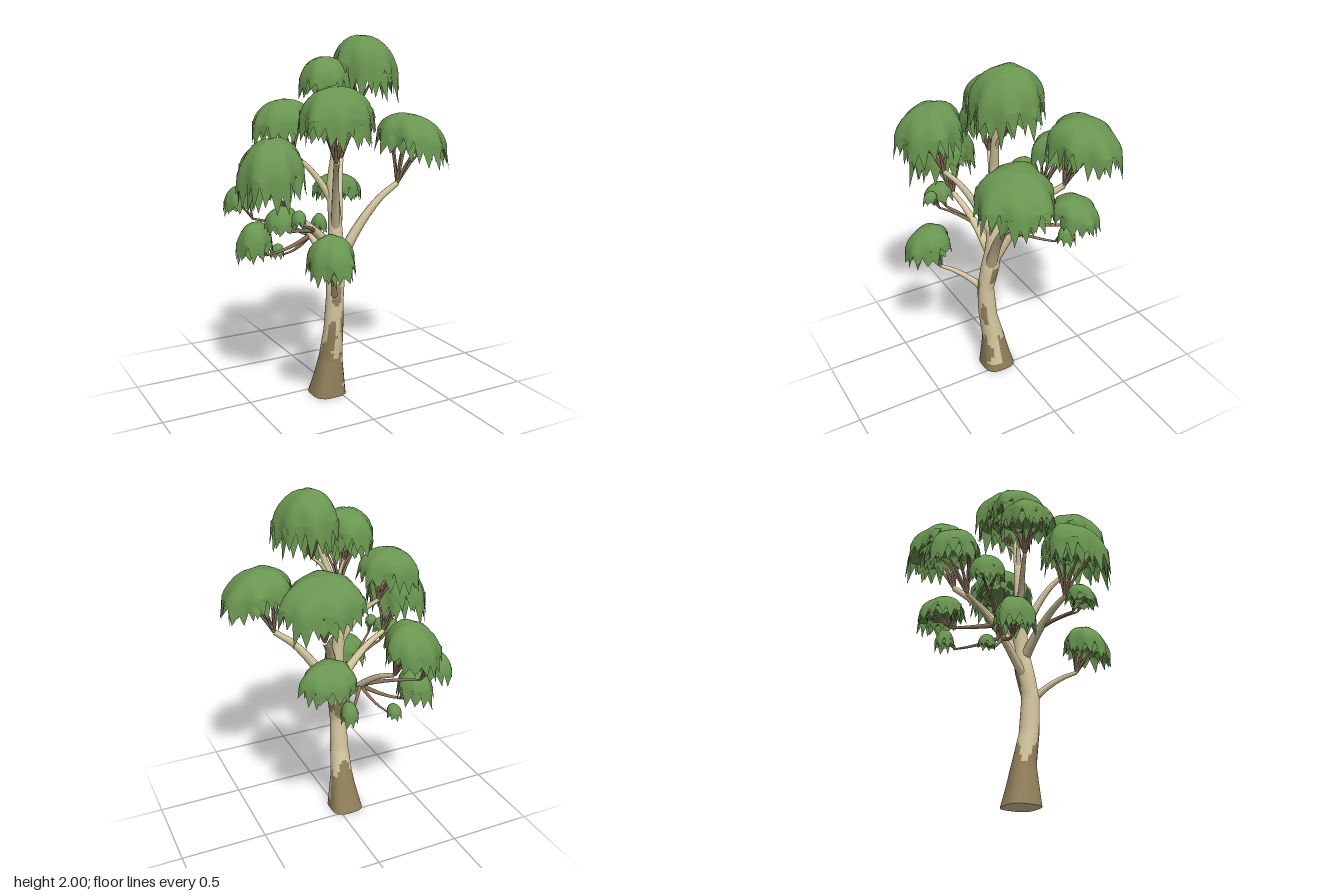
import * as THREE from 'three';

const mat = (name, color, side = THREE.FrontSide) => {
  const m = new THREE.MeshStandardMaterial({ color, side });
  m.name = name;
  return m;
};

// Small seeded random generator
function seeded(seed) {
  let s = seed * 7919 + 17;
  return () => ((s = (s * 16807) % 2147483647) / 2147483647);
}

// Tube along a curve, tapering from r0 to r1
function taperedTube(curve, r0, r1, sides, rows) {
  const geo = new THREE.TubeGeometry(curve, rows, 1, sides, false);
  const pos = geo.attributes.position;
  const v = new THREE.Vector3();
  for (let k = 0; k < pos.count; k++) {
    const t = Math.floor(k / (sides + 1)) / rows;
    const c = curve.getPointAt(t);
    v.fromBufferAttribute(pos, k).sub(c).multiplyScalar(r0 + (r1 - r0) * t).add(c);
    pos.setXYZ(k, v.x, v.y, v.z);
  }
  return geo;
}

// Trunk sections: y, centre x, centre z, radius
const TRUNK = [
  [0, -0.055, 0.075, 0.097],
  [0.1, -0.05, 0.088, 0.083],
  [0.22, -0.045, 0.1, 0.067],
  [0.4, -0.045, 0.135, 0.055],
  [0.6, -0.043, 0.148, 0.049],
  [0.75, -0.025, 0.125, 0.054],
  [0.88, -0.015, 0.11, 0.043],
  [1.05, -0.02, 0.1, 0.036],
  [1.22, -0.03, 0.092, 0.031],
  [1.4, -0.01, 0.1, 0.026],
  [1.55, 0.03, 0.115, 0.021],
  [1.7, 0.08, 0.125, 0.013],
];

// Trunk section at any height
function trunkAt(y) {
  const i = Math.max(1, TRUNK.findIndex((s) => s[0] >= y));
  const a = TRUNK[i - 1], b = TRUNK[i], t = (y - a[0]) / (b[0] - a[0]);
  return a.map((v, k) => v + (b[k] - v) * t);
}

// Old bark patches: angle, height, half angle, half height
const PATCHES = [
  [0.85, 0.42, 0.4, 0.08], [0.9, 0.13, 0.3, 0.06], [1.8, 0.6, 0.6, 0.06],
  [-0.2, 0.7, 0.55, 0.06], [-1.3, 0.68, 0.5, 0.07], [2.2, 0.36, 0.5, 0.1], [1.2, 1.08, 0.5, 0.05],
];

function isOldBark(a, y) {
  const limit = a > -0.1 && a < 1.1 ? 0.04 : 0.28 + 0.06 * Math.sin(3 * a);
  return y < limit || PATCHES.some(([pa, py, da, dy]) => ((a - pa) / da) ** 2 + ((y - py) / dy) ** 2 < 1);
}

function trunkGeometry() {
  const sides = 24, rows = 96, pos = [], pale = [], old = [];
  for (let i = 0; i <= rows; i++) {
    const [y, cx, cz, r] = trunkAt((1.7 * i) / rows);
    for (let j = 0; j < sides; j++) {
      const a = (j / sides) * Math.PI * 2;
      const squarish = 1 + 0.07 * (1 - Math.cos(4 * a)) * Math.max(0, 1 - y / 0.25);
      pos.push(cx + r * squarish * Math.cos(a), y, cz + r * squarish * Math.sin(a));
    }
  }
  for (let i = 0; i < rows; i++) {
    for (let j = 0; j < sides; j++) {
      const a = i * sides + j, b = i * sides + ((j + 1) % sides);
      let angle = ((j + 0.5) / sides) * Math.PI * 2;
      if (angle > Math.PI) angle -= Math.PI * 2;
      (isOldBark(angle, pos[a * 3 + 1]) ? old : pale).push(a, a + sides, b, b, a + sides, b + sides);
    }
  }
  // Flat underside with its own ring of corners
  const base = pos.length / 3;
  pos.push(...pos.slice(0, sides * 3));
  for (let j = 1; j < sides - 1; j++) pale.push(base, base + j, base + j + 1);
  const geo = new THREE.BufferGeometry();
  geo.setAttribute('position', new THREE.Float32BufferAttribute(pos, 3));
  geo.setIndex([...pale, ...old]);
  geo.addGroup(0, pale.length, 0);
  geo.addGroup(pale.length, old.length, 1);
  geo.computeVertexNormals();
  return geo;
}

// Lumpy dome leaning outwards, its rim hanging down in pointed leaf tips
function leafDome(rx, rz, height, drop, leanX, leanZ, seed) {
  const rand = seeded(seed), rows = 7;
  const teeth = Math.max(8, Math.round((rx + rz) * 52)), n = teeth * 2;
  const pos = [0, height, 0], index = [];
  const p1 = rand() * 6, p2 = rand() * 6;
  for (let i = 1; i <= rows + 1; i++) {
    const phi = (Math.min(i, rows) / rows) * Math.PI / 2, s = Math.sin(phi);
    for (let j = 0; j < n; j++) {
      const a = (j / n) * Math.PI * 2;
      const lump = 0.94 + (0.05 * Math.sin(3 * a + p1) + 0.06 * Math.sin(7 * a + p2)) * s * s;
      let r = s * lump * (1 - 0.05 * s);
      let y = height * Math.cos(phi) + 0.03 * height * Math.sin(4 * a + p2) * Math.sin(phi * 2);
      if (i >= rows) y += drop * (0.1 + 0.25 * Math.sin(5 * a + p1));
      if (i > rows) {
        const tip = j % 2 === 0;
        y -= drop * (tip ? 0.55 + 0.55 * rand() : 0.05 + 0.2 * rand());
        r *= tip ? 1.04 + 0.06 * rand() : 0.99;
      }
      const x = r * rx * Math.cos(a), z = r * rz * Math.sin(a);
      pos.push(x, Math.max(y, -drop) - leanX * x - leanZ * z, z);
    }
  }
  for (let j = 0; j < n; j++) {
    const k = (j + 1) % n;
    index.push(0, 1 + k, 1 + j);
    for (let i = 0; i < rows; i++) {
      const a = 1 + i * n + j, b = 1 + i * n + k;
      index.push(a, b, a + n, b, b + n, a + n);
    }
  }
  const geo = new THREE.BufferGeometry();
  geo.setAttribute('position', new THREE.Float32BufferAttribute(pos, 3));
  geo.setIndex(index);
  geo.computeVertexNormals();
  return geo;
}

// Main crowns: x, z, bottom y, top y, radius x, radius z, height where the branch leaves the trunk
const MAIN = [
  [0.15, 0.11, 1.66, 2.0, 0.185, 0.205, 1.5],
  [-0.06, 0.07, 1.66, 1.89, 0.155, 0.17, 1.4],
  [-0.17, 0.39, 1.47, 1.75, 0.2, 0.19, 0.95],
  [-0.28, -0.01, 1.44, 1.67, 0.18, 0.155, 1.1],
  [-0.44, 0.2, 1.16, 1.49, 0.185, 0.205, 0.82],
  [0.25, -0.3, 1.42, 1.68, 0.225, 0.2, 0.77],
  [0.41, 0.21, 1.32, 1.58, 0.21, 0.21, 0.74],
  [-0.2, -0.42, 1.16, 1.4, 0.155, 0.16, 0.69],
  [-0.21, 0.42, 0.79, 1.01, 0.13, 0.14, 0.58],
];

// Side crowns: the same, but the last number is the main branch they fork from
const SIDE = [
  [0.21, -0.29, 1.02, 1.2, 0.16, 0.14, 5],
  [-0.41, -0.33, 1.0, 1.17, 0.09, 0.1, 7],
  [-0.39, -0.15, 0.77, 0.99, 0.11, 0.12, 7],
  [-0.41, 0.25, 1.02, 1.15, 0.09, 0.09, 4],
  [-0.35, 0.33, 1.06, 1.14, 0.04, 0.045, 4],
  [0.1, -0.31, 0.83, 0.96, 0.05, 0.06, 7],
  [-0.22, -0.22, 0.74, 0.83, 0.045, 0.05, 7],
];

// Branch that rises quickly first and then levels out a little
function branchCurve(start, end) {
  const bow = 0.15 * (end.y - start.y);
  return new THREE.CatmullRomCurve3([0, 0.35, 0.7, 1].map((t) => {
    const p = start.clone().lerp(end, t);
    p.y += bow * Math.sin(Math.PI * t);
    return p;
  }));
}

export function createModel() {
  const tree = new THREE.Group();
  tree.name = 'tree';
  const paleBark = mat('pale bark', 0xd6c8a0);
  const oldBark = mat('old bark', 0x94815c);
  const twigBark = mat('twig bark', 0x8c745a);
  const leaves = mat('leaf green', 0x6a9651, THREE.DoubleSide);
  const add = (parent, name, geo, material) => {
    const mesh = new THREE.Mesh(geo, material);
    mesh.name = name;
    parent.add(mesh);
    return mesh;
  };
  add(tree, 'trunk', trunkGeometry(), [paleBark, oldBark]);

  // Branch, twigs and leaves of one crown; returns the branch curve
  function addLimb(name, seed, [x, z, bottom, top, rx, rz], start, r0, bark) {
    const limb = new THREE.Group();
    limb.name = name;
    tree.add(limb);
    const height = top - bottom, rim = bottom + height * 0.42;
    const node = start.clone().lerp(new THREE.Vector3(x, bottom, z), 0.8);
    const curve = branchCurve(start, node);
    add(limb, 'branch', taperedTube(curve, r0, r0 * 0.45, 8, 14), bark);

    // Twigs fanning out into the leaves
    const count = rx > 0.1 ? 7 : 3;
    for (let t = 0; t < count; t++) {
      const a = (t / count) * Math.PI * 2 + seed;
      const tip = new THREE.Vector3(x + Math.cos(a) * rx * 0.65, rim + height * 0.08, z + Math.sin(a) * rz * 0.65);
      add(limb, 'twig', taperedTube(branchCurve(node, tip), Math.min(0.01, r0 * 0.45), 0.004, 5, 5), twigBark);
    }

    // Leaf crown, closed below by a shallow inner layer
    [['leafCrown', 1, 1, 0], ['underLeaves', 0.9, 0.22, 40], ['innerLeaves', 0.6, 0.3, 80]].forEach(([part, w, h, s]) => {
      const dome = leafDome(rx * w, rz * w, (top - rim) * h, (rim - bottom) * w, x * 0.45, z * 0.45, seed + s);
      add(limb, part, dome, leaves).position.set(x, rim, z);
    });
    return curve;
  }

  const curves = MAIN.map((crown, i) => {
    const [y, cx, cz, r] = trunkAt(crown[6]);
    const r0 = Math.min(0.17 * crown[4], 0.7 * r);
    return addLimb(`mainLimb${i + 1}`, i + 1, crown, new THREE.Vector3(cx, y, cz), r0, paleBark);
  });
  SIDE.forEach((crown, i) => {
    addLimb(`sideLimb${i + 1}`, i + 20, crown, curves[crown[6]].getPointAt(0.48), 0.01 + 0.04 * crown[4], twigBark);
  });
  return tree;
}
